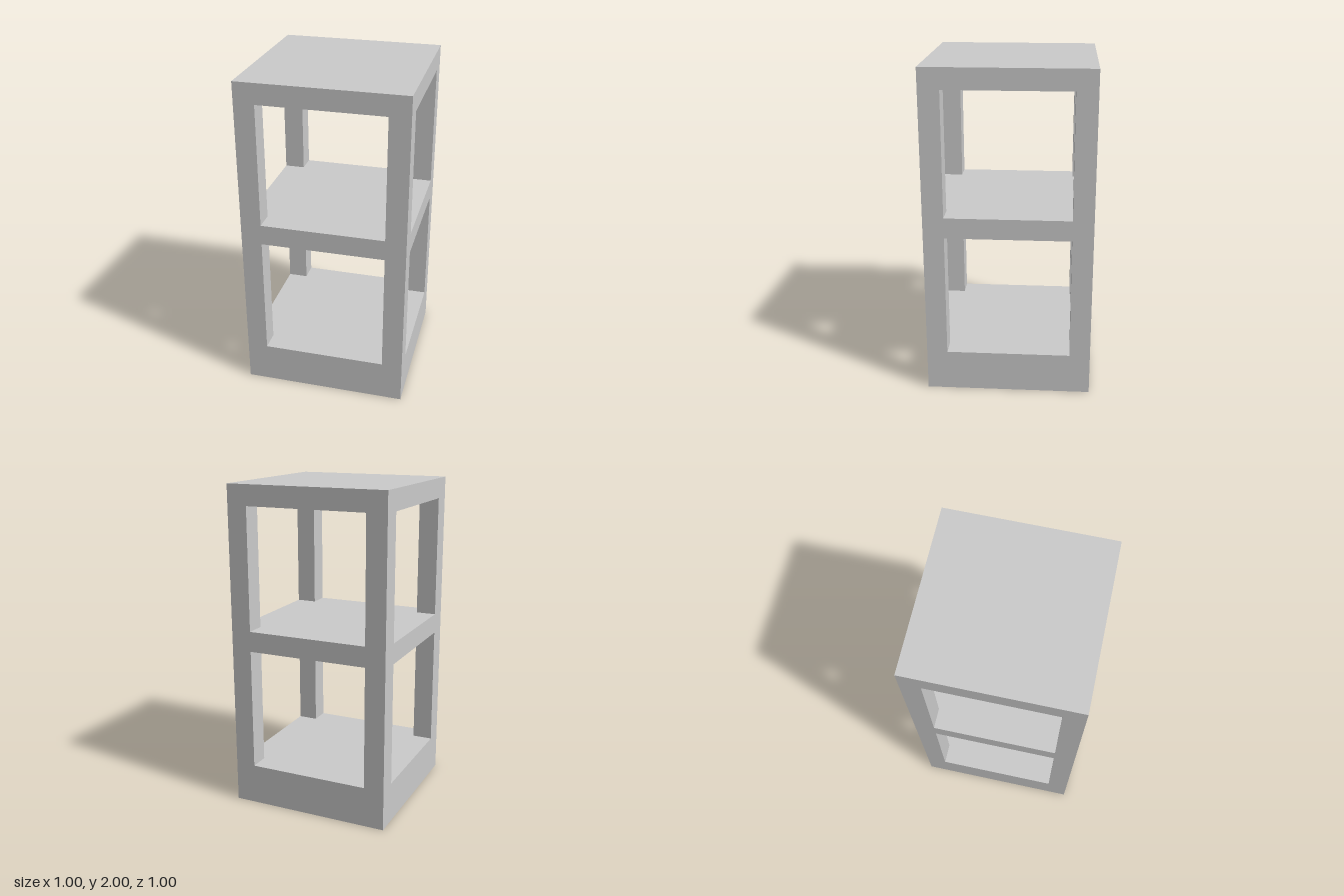
import * as THREE from 'three';

const WIDTH = 1;
const POST = 0.125;

export function createModel() {
  const model = new THREE.Group();
  model.name = 'shelfTower';
  const material = new THREE.MeshStandardMaterial({ color: 0xcccccc, flatShading: true });

  // Box placed by its lower and upper heights
  function addBox(name, size, bottom, top, x = 0, z = 0) {
    const mesh = new THREE.Mesh(new THREE.BoxGeometry(size, top - bottom, size), material);
    mesh.name = name;
    mesh.position.set(x, (bottom + top) / 2, z);
    model.add(mesh);
  }

  // Full-width slabs: thick base, middle shelf, roof
  const slabs = [
    ['base', 0, 0.25],
    ['middleShelf', 1, 1.125],
    ['roof', 1.875, 2],
  ];
  for (const [name, bottom, top] of slabs) addBox(name, WIDTH, bottom, top);

  // Four corner posts in each open storey, flush with the slab edges
  const offset = (WIDTH - POST) / 2;
  const storeys = [['lower', 0.25, 1], ['upper', 1.125, 1.875]];
  for (const [level, bottom, top] of storeys) {
    for (const [side, sx] of [['Left', 1], ['Right', -1]]) {
      for (const [end, sz] of [['Front', 1], ['Back', -1]]) {
        addBox(`${level}${end}${side}Post`, POST, bottom, top, sx * offset, sz * offset);
      }
    }
  }

  return model;
}
